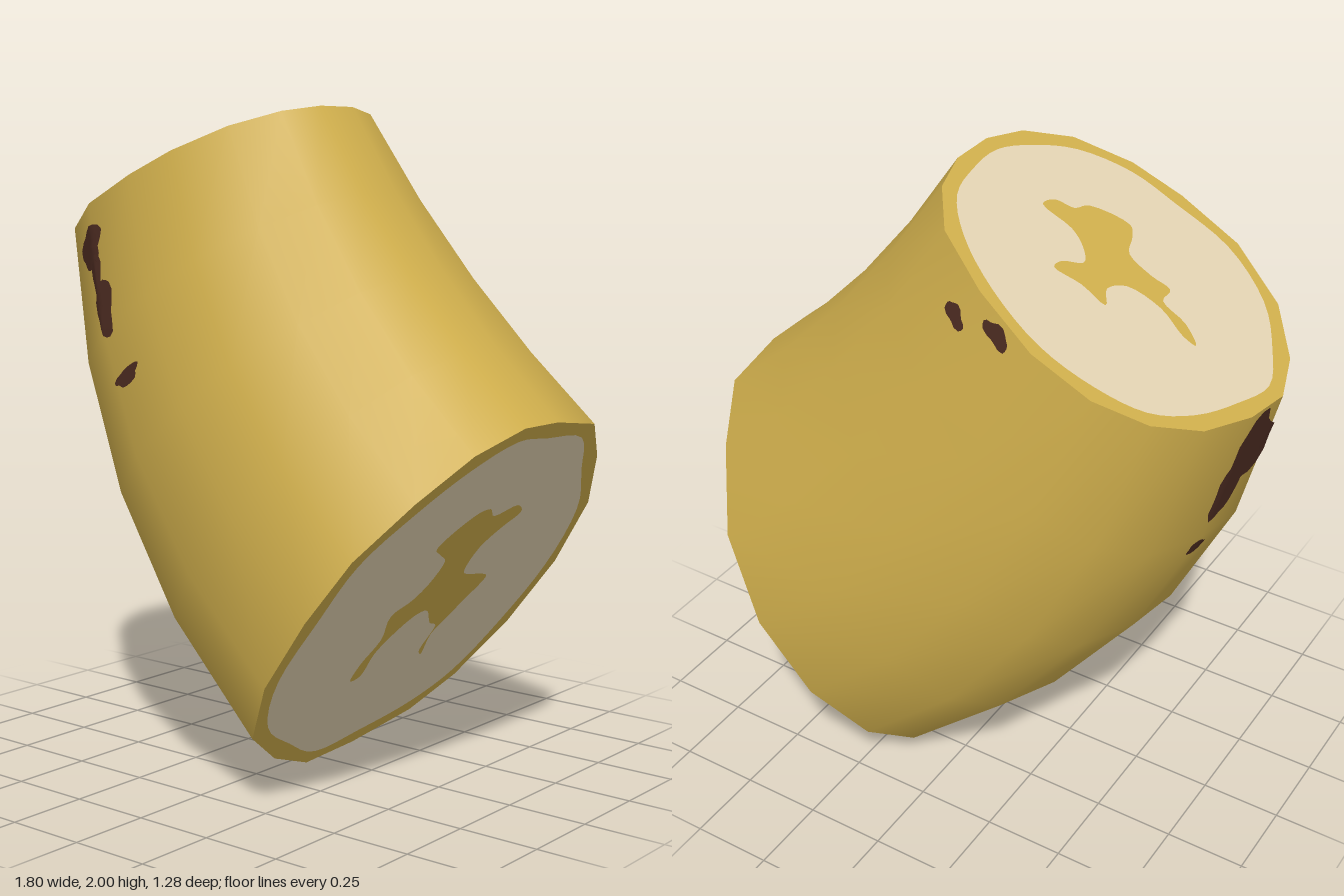
import * as THREE from 'three';

const mat = (name, color) => {
  const m = new THREE.MeshStandardMaterial({ color });
  m.name = name;
  return m;
};

// Cut outlines, both starting on the inner side of the bend and turning towards the back.
const TOP = [ // x, z
  [.12, -.06], [.08, -.2], [-.02, -.34], [-.2, -.45], [-.4, -.525], [-.58, -.53], [-.72, -.47], [-.82, -.36], [-.88, -.2],
  [-.9, -.05], [-.85, .1], [-.73, .27], [-.54, .39], [-.34, .42], [-.18, .41], [-.02, .34], [.08, .22], [.12, .09]];
const LOW = [ // z, y
  [.02, 1.13], [-.21, 1.10], [-.38, .98], [-.56, .8], [-.64, .58], [-.62, .36], [-.52, .18], [-.38, .08], [-.14, .02],
  [.07, 0], [.29, .08], [.5, .21], [.62, .41], [.64, .62], [.61, .8], [.49, .95], [.35, 1.07], [.18, 1.13]];
const TOP_CORE = [ // x, z
  [-.66, -.1], [-.62, -.1], [-.53, -.06], [-.43, -.07], [-.4, -.13], [-.43, -.19], [-.35, -.18], [-.27, -.19],
  [-.27, -.15], [-.31, -.1], [-.28, -.05], [-.22, -.01], [-.12, 0], [-.13, .05], [-.18, .07], [-.2, .12],
  [-.31, .16], [-.34, .12], [-.37, .05], [-.45, .03], [-.51, .03], [-.52, -.03], [-.6, -.05]];
const LOW_CORE = [ // z, y
  [.2, .77], [.11, .86], [.05, .87], [0, .84], [-.1, .86], [-.15, .83], [-.1, .79], [-.05, .73], [-.06, .65],
  [-.12, .63], [-.18, .62], [-.23, .6], [-.19, .52], [-.16, .46], [-.14, .42], [-.17, .34], [-.14, .36], [-.13, .45],
  [-.08, .47], [0, .53], [.05, .52], [.1, .47], [.13, .41], [.12, .33], [.16, .32], [.17, .38], [.15, .46],
  [.19, .55], [.13, .59], [.1, .64], [.1, .71], [.15, .74]];

// Planes of the two cuts
const onTop = (x, z) => new THREE.Vector3(x, 1.56 + .432 * (x + .9), z);
const onLow = (z, y) => new THREE.Vector3(.05 + .752 * y - .012 * z, y, z);

const N = TOP.length, RINGS = 4;

// Rings of the bent, slightly swollen body
function makeRings() {
  const a = LOW.map(p => onLow(...p)), b = TOP.map(p => onTop(...p));
  const ca = new THREE.Vector3(.475, .565, 0), cb = new THREE.Vector3(-.39, 1.78, -.055);
  const rings = [];
  for (let i = 0; i <= RINGS; i++) {
    const t = i / RINGS, s = 4 * t * (1 - t);
    const c = ca.clone().lerp(cb, t);
    const swell = new THREE.Vector3(1 + .14 * s, 1 + .05 * s, 1 + .075 * s);
    const bow = new THREE.Vector3(-.088 * s, -.063 * s, 0);
    rings.push(a.map((p, j) => p.clone().lerp(b[j], t).sub(c).multiply(swell).add(c).add(bow)));
  }
  return rings;
}

function meshData(points, index) {
  const g = new THREE.BufferGeometry().setFromPoints(points);
  g.setIndex(index);
  g.computeVertexNormals();
  return g;
}

function bodyGeometry(rings) {
  const index = [];
  for (let i = 0; i < RINGS; i++) for (let j = 0; j < N; j++) {
    const a = i * N + j, b = i * N + (j + 1) % N;
    index.push(a, b, b + N, a, b + N, a + N);
  }
  return meshData(rings.flat(), index);
}

// Point on the skin: u counts around the outline, t runs from lower to upper cut
function skinPoint(rings, u, t) {
  const f = Math.min(Math.max(t, 0), .999) * RINGS, i = Math.floor(f), j = Math.floor(u);
  const at = r => rings[r][j % N].clone().lerp(rings[r][(j + 1) % N], u - j);
  const p = at(i).lerp(at(i + 1), f - i);
  const c = rings[i].reduce((s, q) => s.add(q), new THREE.Vector3()).divideScalar(N);
  const d = rings[i + 1].reduce((s, q) => s.add(q), new THREE.Vector3()).divideScalar(N);
  const out = p.clone().sub(c.lerp(d, f - i)).normalize();
  return p.addScaledVector(out, .006);
}

// Thin irregular blotch that follows the skin
function spotGeometry(rings, u, t, ru, rt) {
  const S = 18, L = 4, pts = [skinPoint(rings, u, t)], index = [];
  for (let l = 1; l <= L; l++) for (let k = 0; k < S; k++) {
    const a = k / S * Math.PI * 2, r = l / L * (1 + .15 * Math.sin(3 * a + u) + .08 * Math.sin(5 * a));
    pts.push(skinPoint(rings, u + ru * r * Math.cos(a), t + rt * r * Math.sin(a)));
  }
  for (let k = 0; k < S; k++) {
    const n = (k + 1) % S;
    index.push(0, 1 + k, 1 + n);
    for (let l = 0; l < L - 1; l++) {
      const a = 1 + l * S + k, b = 1 + l * S + n;
      index.push(a, a + S, b + S, a, b + S, b);
    }
  }
  return meshData(pts, index);
}

const smooth = pts => new THREE.CatmullRomCurve3(pts.map(p => new THREE.Vector3(p.x, p.y, 0)), true)
  .getPoints(pts.length * 4).slice(0, -1).map(p => new THREE.Vector2(p.x, p.y));

export function createModel() {
  const skin = mat('yellow skin', 0xcfae4c);
  const flesh = mat('cream flesh', 0xe2d2b2);
  const bruise = mat('brown bruise', 0x4a2a20);
  const model = new THREE.Group();
  model.name = 'fruitPiece';
  const add = (parent, name, geometry, material) => {
    const m = new THREE.Mesh(geometry, material);
    m.name = name;
    parent.add(m);
  };

  const rings = makeRings();
  add(model, 'body', bodyGeometry(rings), skin);

  // Cut ends: skin rim, flesh and core fitted into one another
  const cut = (name, outline, core, flat, place, center, scale) => {
    const group = new THREE.Group();
    group.name = name;
    const edge = outline.map(flat);
    const mid = flat(center);
    const inner = smooth(edge.map((p, i) =>
      p.clone().sub(mid).multiplyScalar(scale + .012 * Math.sin(i * 2.3)).add(mid)));
    const heart = smooth(core.map(flat));
    const face = (part, pts, hole, material) => {
      const shape = new THREE.Shape(pts);
      if (hole) shape.holes.push(new THREE.Path(hole));
      const g = new THREE.ShapeGeometry(shape);
      const pos = g.attributes.position;
      for (let i = 0; i < pos.count; i++) {
        const p = place(pos.getX(i), pos.getY(i));
        pos.setXYZ(i, p.x, p.y, p.z);
      }
      g.computeVertexNormals();
      add(group, part, g, material);
    };
    face('rim', edge, inner, skin);
    face('flesh', inner, heart, flesh);
    face('core', heart, null, skin);
    model.add(group);
  };
  cut('upperCut', TOP, TOP_CORE, ([x, z]) => new THREE.Vector2(x, -z), (a, b) => onTop(a, -b), [-.4, -.055], .905);
  cut('lowerCut', LOW, LOW_CORE, ([z, y]) => new THREE.Vector2(-z, y), (a, b) => onLow(-a, b), [0, .565], .915);

  // Bruises on the skin: u, t, half width, half height
  const spots = [
    [11.85, .92, .38, .04], [12, .86, .14, .04], [12.1, .79, .2, .055], [12.25, .64, .24, .016],
    [8.45, .92, .55, .075], [8.15, .85, .3, .06], [8, .73, .16, .018],
    [2.9, .92, .2, .018], [3.5, .97, .22, .018]];
  for (const s of spots) add(model, 'bruise', spotGeometry(rings, ...s), bruise);

  return model;
}
